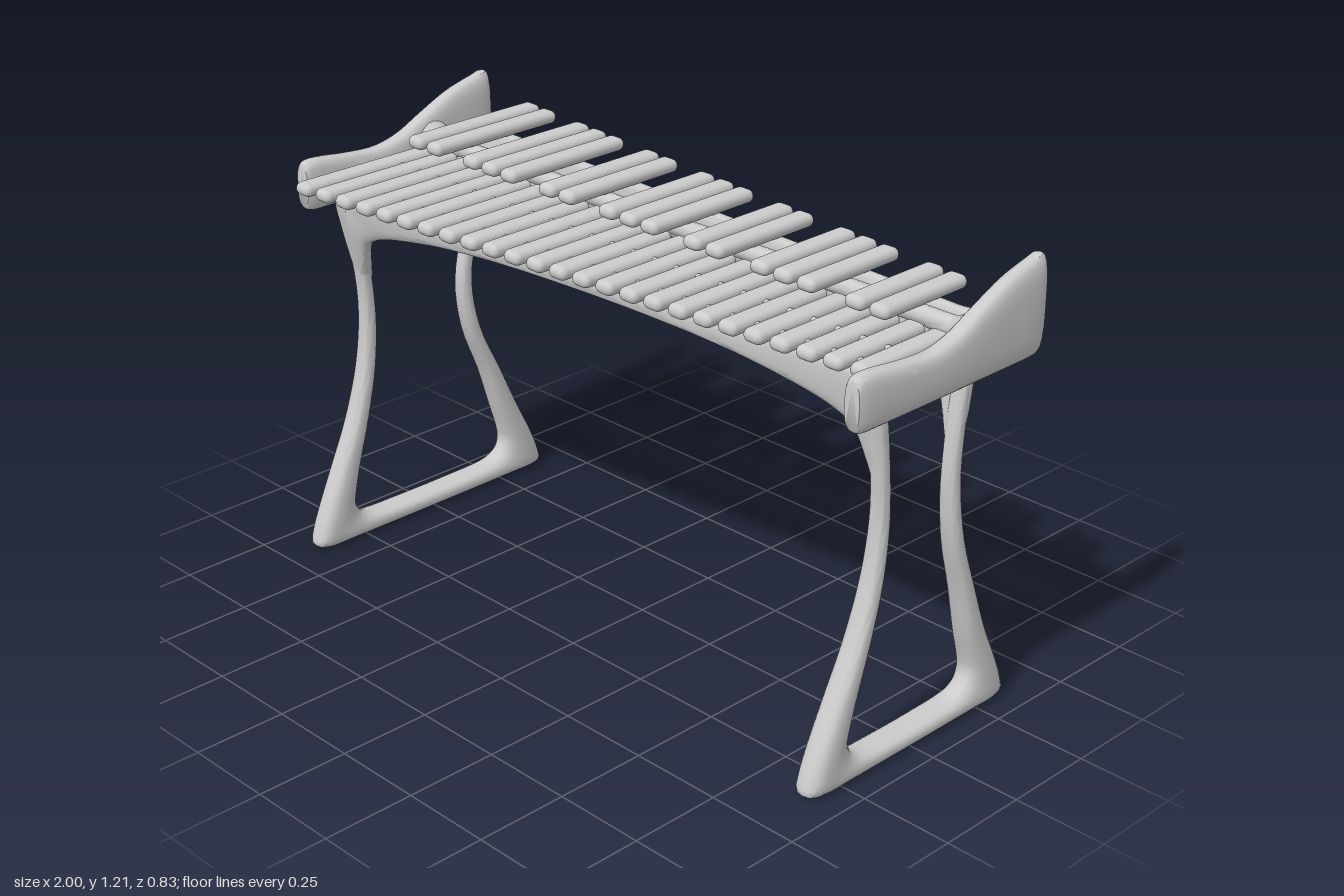
import * as THREE from 'three';
import { toCreasedNormals } from 'three/addons/utils/BufferGeometryUtils.js';
import { RoundedBoxGeometry } from 'three/addons/geometries/RoundedBoxGeometry.js';

const material = new THREE.MeshStandardMaterial({ color: 0xcccccc });
const lerp = THREE.MathUtils.lerp;
const along = (x) => (x + 0.9) / 1.8;

// z of the front and back rails; the instrument narrows towards +x
const frontZ = (x) => lerp(0.25, 0.15, along(x));
const backZ = (x) => lerp(-0.25, -0.17, along(x));

function add(group, geometry, name, x = 0, y = 0, z = 0) {
  const mesh = new THREE.Mesh(geometry, material);
  mesh.name = name;
  mesh.position.set(x, y, z);
  group.add(mesh);
  return mesh;
}

// Rounded band between an outer and an inner line: each section is a
// superellipse from outer to inner point, halfWidth(mid) wide along axis.
function loft(outer, inner, axis, halfWidth, steps, power) {
  const o = new THREE.CatmullRomCurve3(outer), n = new THREE.CatmullRomCurve3(inner);
  const sides = 20, position = [], index = [];
  const soft = (v) => Math.sign(v) * Math.abs(v) ** power;
  for (let i = 0; i <= steps; i++) {
    const a = o.getPoint(i / steps), b = n.getPoint(i / steps);
    const mid = a.clone().add(b).multiplyScalar(0.5);
    const reach = a.sub(mid), w = halfWidth(mid);
    for (let j = 0; j < sides; j++) {
      const t = (j / sides) * Math.PI * 2;
      const p = mid.clone().addScaledVector(reach, soft(Math.cos(t))).addScaledVector(axis, w * soft(Math.sin(t)));
      position.push(p.x, p.y, p.z);
      if (i === steps) continue;
      const k = i * sides + j, m = i * sides + (j + 1) % sides;
      index.push(k, k + sides, m, m, k + sides, m + sides);
    }
  }
  // end caps
  const last = steps * sides;
  for (let j = 1; j < sides - 1; j++) index.push(0, j, j + 1, last, last + j + 1, last + j);
  const g = new THREE.BufferGeometry();
  g.setAttribute('position', new THREE.Float32BufferAttribute(position, 3));
  g.setIndex(index);
  return toCreasedNormals(g, 0.8);
}

// Leg: y, inner z, outer z, extra spread of the wide end (front, back)
const LEG = [
  [1.0, 0.137, 0.175, 0.095, 0.1], [0.95, 0.13, 0.168, 0.095, 0.085],
  [0.8, 0.108, 0.147, 0.077, 0.045], [0.65, 0.1, 0.141, 0.071, 0.02],
  [0.5, 0.117, 0.163, 0.066, 0.022], [0.35, 0.157, 0.213, 0.06, 0.04],
  [0.22, 0.2, 0.275, 0.055, 0.05],
];
// Foot gusset and base bar: outer z, y, inner z, y
const FOOT = [
  [0.325, 0.115, 0.219, 0.15], [0.352, 0.045, 0.224, 0.115], [0.358, 0.012, 0.212, 0.082],
  [0.335, 0.003, 0.19, 0.065], [0.25, 0.003, 0.16, 0.055], [0.08, 0.003, 0.08, 0.05],
];

// Front leg, base bar and back leg as one loop
function legFrame(wide) {
  const outer = [], inner = [];
  for (const s of [1, -1]) {
    const pairs = LEG.map(([y, i, o, front, back]) => {
      const d = (wide ? (s > 0 ? front : back) : 0) + (s < 0 && y > 0.3 ? 0.013 : 0);
      return [o + d, y, i + d, y];
    });
    for (const [oz, oy, iz, iy] of FOOT) {
      const d = wide && iz > 0.1 ? 0.052 : 0;
      pairs.push([oz + d, oy, iz + d, iy]);
    }
    if (s < 0) pairs.reverse();
    for (const [oz, oy, iz, iy] of pairs) {
      outer.push(new THREE.Vector3(0, oy, s * oz));
      inner.push(new THREE.Vector3(0, iy, s * iz));
    }
  }
  // thicker towards the floor
  const width = (m) => 0.0225 + 0.02 * Math.max(0, 1 - m.y / 0.7);
  return loft(outer, inner, new THREE.Vector3(1, 0, 0), width, 100, 0.75);
}

// Arched apron joining the two legs of one side; slopes follow the legs
function apron(zAt, top, slopeWide, slopeNarrow) {
  // outer x, y, inner x, y from the leg to the middle
  const half = [[0.902, 0.76, 0.872, 0.76], [0.911, 0.83, 0.852, 0.815], [0.913, 0.91, 0.838, 0.85],
    [0.915, 0.985, 0.82, 0.878], [0.912, top, 0.79, 0.895], [0.85, top, 0.74, 0.914],
    [0.7, top, 0.63, 0.937], [0.5, top, 0.47, 0.959], [0.25, top, 0.25, 0.973]];
  const z = (x, y) => zAt(x) + lerp(slopeWide, slopeNarrow, along(x)) * (Math.min(y, 0.97) - 0.97);
  const outer = [], inner = [];
  const push = (s, [ox, oy, ix, iy]) => {
    outer.push(new THREE.Vector3(s * ox, oy, z(s * ox, oy)));
    inner.push(new THREE.Vector3(s * ix, iy, z(s * ix, iy)));
  };
  half.forEach((h) => push(1, h));
  push(1, [0, top, 0, 0.977]);
  half.reverse().forEach((h) => push(-1, h));
  return loft(outer, inner, new THREE.Vector3(0, 0, 1), () => 0.02, 90, 0.6);
}

// Flat ring between the aprons with a long rounded opening
function bedRing() {
  const shape = new THREE.Shape([
    new THREE.Vector2(-0.9, frontZ(-0.9)), new THREE.Vector2(0.9, frontZ(0.9)),
    new THREE.Vector2(0.9, backZ(0.9)), new THREE.Vector2(-0.9, backZ(-0.9)),
  ]);
  const hole = [];
  for (let i = 0; i < 64; i++) {
    const a = (i / 64) * Math.PI * 2;
    const c = Math.cos(a), s = Math.sin(a);
    const x = 0.855 * Math.sign(c) * Math.abs(c) ** 0.35;
    const t = Math.sign(s) * Math.abs(s) ** 0.35;
    hole.push(new THREE.Vector2(x, lerp(backZ(x) + 0.012, frontZ(x) - 0.012, (t + 1) / 2)));
  }
  shape.holes.push(new THREE.Path(hole));
  const g = new THREE.ExtrudeGeometry(shape, { depth: 0.035, bevelEnabled: false });
  return toCreasedNormals(g.rotateX(Math.PI / 2), 0.7);
}

// End panel with a wavy top: z, top y, bottom y
function endPanel() {
  const rows = [[0.315, 1.075, 0.968], [0.308, 1.088, 0.957], [0.29, 1.092, 0.953], [0.24, 1.089, 0.953],
    [0.16, 1.079, 0.953], [0.06, 1.074, 0.953], [-0.02, 1.092, 0.953], [-0.1, 1.13, 0.953],
    [-0.2, 1.175, 0.953], [-0.29, 1.2, 0.953], [-0.318, 1.208, 0.955], [-0.328, 1.205, 0.96],
    [-0.332, 1.19, 0.975]];
  const line = (col) => rows.map((r) => new THREE.Vector3(0, r[col], r[0]));
  const width = (m) => 0.03 * (1 - ((m.z + 0.0085) / 0.36) ** 12);
  return loft(line(1), line(2), new THREE.Vector3(-1, 0, 0), width, 60, 0.6);
}

// Round rail between two points
function rail(group, name, a, b, radius) {
  const curve = new THREE.LineCurve3(new THREE.Vector3(...a), new THREE.Vector3(...b));
  add(group, new THREE.TubeGeometry(curve, 1, radius, 12), name);
}

export function createModel() {
  const model = new THREE.Group();
  model.name = 'barInstrument';

  // Stand
  const stand = new THREE.Group();
  stand.name = 'stand';
  stand.position.x = 0.01;
  model.add(stand);
  add(stand, legFrame(true), 'rightLegFrame', -0.89);
  add(stand, legFrame(false), 'leftLegFrame', 0.89);
  add(stand, apron(frontZ, 1.028, 0.26, 0.14), 'frontApron');
  add(stand, apron(backZ, 1.085, -0.4, -0.15), 'backApron');
  add(stand, bedRing(), 'bedRing', 0, 1.022, 0);

  // End panels, each on a flared neck
  const profile = [[0.022, -0.1], [0.024, -0.05], [0.032, -0.02], [0.06, 0.025]];
  const neck = new THREE.LatheGeometry(new THREE.SplineCurve(
    profile.map(([r, h]) => new THREE.Vector2(r, h))).getPoints(12), 20).rotateZ(-Math.PI / 2);
  for (const s of [-1, 1]) {
    add(model, endPanel(), s > 0 ? 'leftEndPanel' : 'rightEndPanel', s * 0.97);
    const n = add(model, neck, 'panelNeck', s * 0.925, 1.055, -0.12);
    n.rotation.y = s > 0 ? 0 : Math.PI;
  }

  // Rails and cords that carry the bars
  rail(model, 'middleRail', [-0.93, 1.06, -0.12], [0.93, 1.06, -0.12], 0.024);
  rail(model, 'innerRail', [-0.88, 1.022, 0.06], [0.88, 1.022, 0.06], 0.018);
  rail(model, 'innerCord', [-0.88, 1.042, 0.06], [0.88, 1.042, 0.06], 0.011);
  rail(model, 'frontCord', [-0.88, 1.04, frontZ(-0.88)], [0.88, 1.04, frontZ(0.88)], 0.011);

  // Bars: a full lower row, an upper row in groups of two and three
  const bar = (name, x, y, z0, z1) => add(model,
    new RoundedBoxGeometry(0.058, 0.036, z1 - z0, 4, 0.0175), name, x, y, (z0 + z1) / 2);
  const barX = (i) => -0.895 + i * 0.0746;
  for (let i = 0; i < 25; i++) bar('lowerBar', barX(i), 1.046, -0.082, lerp(0.378, 0.215, i / 24));
  for (const i of [0, 1, 3, 4, 5, 7, 8, 10, 11, 12, 14, 15, 17, 18, 19, 21, 22]) {
    bar('upperBar', barX(i + 0.5), 1.1, lerp(-0.416, -0.275, i / 22), 0.025);
  }
  return model;
}
